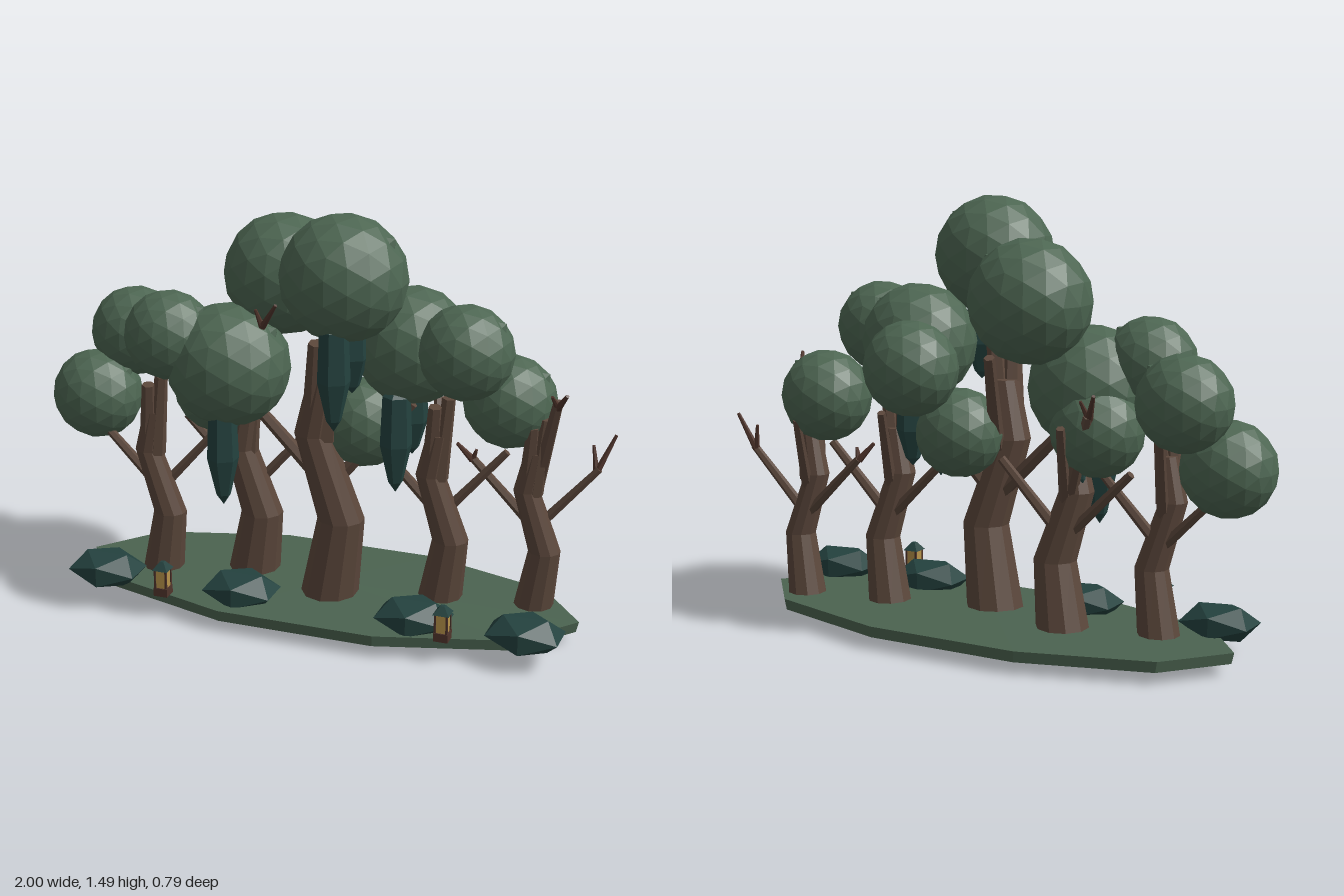
import * as THREE from 'three';

const mat = (name, color) => {
  const m = new THREE.MeshStandardMaterial({ color, flatShading: true });
  m.name = name;
  return m;
};

export function createModel() {
  const leaf = mat('leaf green', 0x4d6652);
  const grass = mat('grass green', 0x4b6350);
  const bark = mat('bark brown', 0x5b473b);
  const twigBark = mat('twig brown', 0x50352c);
  const teal = mat('dark teal', 0x24423f);
  const gold = mat('lantern gold', 0xb8934a);
  const root = new THREE.Group();
  root.name = 'grove';
  const vec = (x, y, z) => new THREE.Vector3(x, y, z);

  const add = (name, geo, material, x = 0, y = 0, z = 0, parent = root) => {
    const m = new THREE.Mesh(geo, material);
    m.name = name;
    m.position.set(x, y, z);
    parent.add(m);
    return m;
  };

  // Tapered stick between two points
  const stick = (name, a, b, r0, r1, material, parent = root) => {
    const d = b.clone().sub(a);
    const m = add(name, new THREE.CylinderGeometry(r1, r0, d.length(), 6), material, 0, 0, 0, parent);
    m.position.copy(a).add(b).multiplyScalar(0.5);
    m.quaternion.setFromUnitVectors(vec(0, 1, 0), d.normalize());
  };

  // Ground slab: ten-sided, slightly domed on top, pointed below
  const slab = new THREE.LatheGeometry([
    new THREE.Vector2(0, 0), new THREE.Vector2(0.99, 0.04),
    new THREE.Vector2(1, 0.078), new THREE.Vector2(0, 0.092)], 10);
  slab.rotateY(Math.PI / 2);
  slab.scale(0.9, 1, 0.36);
  add('ground', slab, grass, 0.03, 0, -0.055);

  // Trunk offset, height and radius at each bend; every tree shares this shape
  const bends = [[0, 0, 0.072], [0.035, 0.22, 0.058], [-0.035, 0.45, 0.047], [-0.005, 0.6, 0.038]];

  const addTree = (x, z, size, girth = 1) => {
    const g = new THREE.Group();
    g.name = 'tree';
    root.add(g);
    const at = (dx, dy, dz = 0) => vec(x + dx * size, 0.08 + dy * size, z + dz * size);
    // Bent trunk: rings of a cylinder moved to the bends
    const n = bends.length - 1;
    const geo = new THREE.CylinderGeometry(1, 1, n, 10, n);
    const p = geo.attributes.position;
    for (let i = 0; i < p.count; i++) {
      const [dx, dy, r] = bends[Math.round(p.getY(i) + n / 2)];
      const c = at(dx, dy, dy * 0.06);
      p.setXYZ(i, c.x + p.getX(i) * r * size * girth, c.y, c.z + p.getZ(i) * r * size * girth);
    }
    add('trunk', geo, bark, 0, 0, 0, g);
    // Forked crown
    for (const side of [-1, 1]) {
      stick('fork', at(-0.02 + side * 0.015, 0.44, 0.03), at(0.01 + side * 0.02, 0.72 + side * 0.015, 0.06 - side * 0.01),
        0.033 * size, 0.023 * size, bark, g);
    }
    // Left, right and rear limbs
    stick('limb', at(0, 0.29), at(-0.24, 0.53, 0), 0.02 * size, 0.014 * size, bark, g);
    stick('limb', at(0, 0.3), at(0.21, 0.54, -0.03), 0.02 * size, 0.014 * size, bark, g);
    stick('limb', at(-0.01, 0.4), at(-0.06, 0.68, -0.13), 0.021 * size, 0.014 * size, bark, g);
  };
  addTree(-0.573, 0, 1);
  addTree(-0.26, -0.09, 1.04, 1.22);
  addTree(0.06, 0.01, 1.33, 1.05);
  addTree(0.43, -0.09, 1.02, 1.05);
  addTree(0.75, -0.14, 0.95);

  // Two long broken limbs
  stick('brokenLimb', vec(0.74, 0.49, -0.14), vec(0.83, 0.86, -0.04), 0.028, 0.018, bark);
  stick('brokenLimb', vec(-0.28, 0.52, -0.09), vec(-0.41, 0.83, -0.2), 0.026, 0.017, bark);

  // Bare twigs: a long tip and a short side shoot
  const addTwig = (x, y, z, dx, dy, dz) => {
    const start = vec(x, y, z);
    stick('twig', start, vec(x + dx, y + dy, z + dz), 0.013, 0.006, twigBark);
    stick('twig', start, vec(x - dx * 0.3, y + dy * 0.7, z + dz * 0.5), 0.011, 0.005, twigBark);
  };
  addTwig(0.94, 0.58, -0.168, 0.055, 0.13, -0.03);
  addTwig(0.83, 0.84, -0.04, 0.045, 0.07, 0.07);
  addTwig(0.52, 0.58, -0.14, -0.05, 0.06, 0.02);
  addTwig(-0.16, 1.04, 0.07, 0.06, 0.09, 0.03);
  addTwig(-0.41, 0.82, -0.195, -0.05, 0.09, -0.065);

  // Foliage balls, each with a small leaf tuft
  const addBall = (x, y, z, r) => {
    add('foliage', new THREE.IcosahedronGeometry(r, 2), leaf, x, y, z).scale.set(1.01, 1, 0.93);
    const tuft = add('leafTuft', new THREE.ConeGeometry(0.03, 0.025, 5), leaf, x + r * 0.77, y + r * 0.65, z);
    tuft.rotation.z = -0.85;
  };
  addBall(-0.84, 0.68, -0.06, 0.16);
  addBall(-0.73, 0.895, -0.16, 0.16);
  addBall(-0.5, 0.975, 0.07, 0.155);
  addBall(-0.3, 0.88, 0.03, 0.215);
  addBall(-0.37, 0.76, -0.06, 0.16);
  addBall(-0.15, 1.175, -0.12, 0.21);
  addBall(0.172, 1.28, 0.2, 0.21);
  addBall(0.16, 0.7, -0.06, 0.155);
  addBall(0.27, 0.93, -0.19, 0.165);
  addBall(0.33, 1.0, -0.04, 0.2);
  addBall(0.54, 1.025, 0.05, 0.16);
  addBall(0.64, 0.8, -0.155, 0.16);

  // Hanging moss: a long strand in front and a shorter one behind
  const mossProfile = [[0, 0], [0.025, 0.1], [0.055, 0.45], [0.048, 0.9], [0, 1]]
    .map(([r, h]) => new THREE.Vector2(r, h));
  const mossGeo = new THREE.LatheGeometry(mossProfile, 6);
  for (const [x, top, z] of [[0.172, 1.17, 0.29], [-0.29, 0.78, 0.115], [0.31, 0.89, 0.06]]) {
    add('hangingMoss', mossGeo, teal, x, top - 0.38, z).scale.y = 0.38;
    add('hangingMoss', mossGeo, teal, x, top - 0.31, z - 0.18).scale.y = 0.28;
  }

  // Low shrubs along the front edge
  for (const x of [-0.725, -0.215, 0.41, 0.795]) {
    add('shrub', new THREE.IcosahedronGeometry(1, 0), teal, x, 0.108, 0.15).scale.set(0.145, 0.068, 0.115);
  }

  // Small lanterns
  for (const x of [-0.475, 0.535]) {
    const g = new THREE.Group();
    g.name = 'lantern';
    g.position.set(x, 0, 0.23);
    root.add(g);
    add('lanternBase', new THREE.BoxGeometry(0.05, 0.03, 0.05), twigBark, 0, 0.095, 0, g);
    add('lanternLight', new THREE.BoxGeometry(0.04, 0.07, 0.04), gold, 0, 0.145, 0, g);
    for (const sx of [-1, 1]) for (const sz of [-1, 1])
      add('lanternPost', new THREE.BoxGeometry(0.007, 0.07, 0.007), twigBark, sx * 0.02, 0.145, sz * 0.02, g);
    const roof = add('lanternRoof', new THREE.CylinderGeometry(0.01, 0.04, 0.028, 4), teal, 0, 0.19, 0, g);
    roof.rotation.y = Math.PI / 4;
  }
  return root;
}
